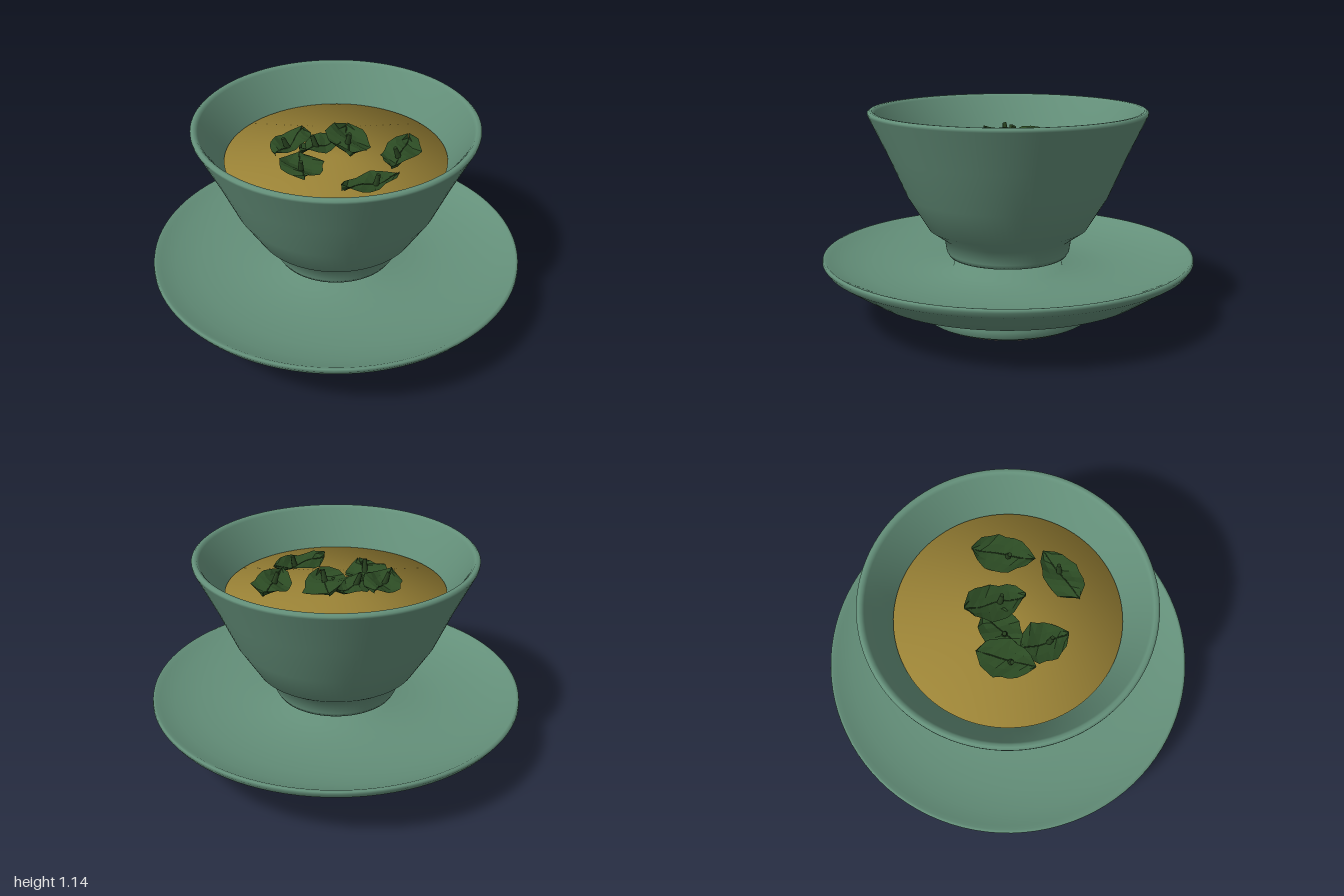
import * as THREE from 'three';

const SEGMENTS = 96;

function material(name, color, extra = {}) {
  const m = new THREE.MeshStandardMaterial({ color, ...extra });
  m.name = name;
  return m;
}

// Turned part: profile given as [radius, height] pairs
function turned(name, profile, mat) {
  const points = profile.map(([r, y]) => new THREE.Vector2(r, y));
  const mesh = new THREE.Mesh(new THREE.LatheGeometry(points, SEGMENTS), mat);
  mesh.name = name;
  return mesh;
}

// Height of a leaf: u runs base to tip (0..1), v across (-1..1)
const leafHeight = (u, v, phase) =>
  0.014 * v * v + 0.016 * (2 * u - 1) ** 2 + 0.012 * Math.sin(9 * u + 3 * v + phase);

function makeLeaf([bx, bz, tx, tz, width, y, roll], index, leafMat, veinMat) {
  const leaf = new THREE.Group();
  leaf.name = 'teaLeaf' + (index + 1);
  const length = Math.hypot(tx - bx, tz - bz);

  // Blade: a grid narrowed to a pointed outline, cupped and rippled
  const blade = new THREE.PlaneGeometry(1, 2, 8, 4);
  blade.rotateX(-Math.PI / 2);
  const p = blade.attributes.position;
  for (let i = 0; i < p.count; i++) {
    const u = p.getX(i) + 0.5, v = p.getZ(i);
    const notch = 1 + 0.07 * Math.sin(u * 19 + index * 2 + v);
    const half = 0.5 * width * notch * Math.pow(Math.max(Math.sin(Math.PI * Math.pow(u, 0.85)), 0.002), 0.65);
    p.setXYZ(i, (u - 0.5) * length, leafHeight(u, v, index), v * half);
  }
  blade.computeVertexNormals();
  const bladeMesh = new THREE.Mesh(blade, leafMat);
  bladeMesh.name = 'leafBlade';

  // Midrib along the fold
  const rib = [];
  for (let k = 0; k <= 6; k++) {
    const u = 0.04 + k * 0.153;
    rib.push(new THREE.Vector3((u - 0.5) * length, leafHeight(u, 0, index), 0));
  }
  const ribMesh = new THREE.Mesh(
    new THREE.TubeGeometry(new THREE.CatmullRomCurve3(rib), 12, 0.003, 5), veinMat);
  ribMesh.name = 'leafMidrib';

  // Short upright stem
  const stem = new THREE.Mesh(new THREE.CylinderGeometry(0.011, 0.017, 0.07, 7), veinMat);
  stem.name = 'leafStem';
  stem.position.set(0.03, leafHeight(0.6, 0, index) + 0.025, 0.008);
  stem.rotation.set(0.15, 0, -0.2);

  leaf.add(bladeMesh, ribMesh, stem);
  leaf.position.set((bx + tx) / 2, y, (bz + tz) / 2);
  leaf.rotation.set(roll, -Math.atan2(tz - bz, tx - bx), 0, 'YXZ');
  return leaf;
}

export function createModel() {
  const model = new THREE.Group();
  model.name = 'teaBowlOnSaucer';
  const glaze = material('celadonGlaze', 0x64907a);
  const clay = material('bareClay', 0xbb9f87, { side: THREE.DoubleSide });
  const teaMat = material('tea', 0x9b8336);
  const leafMat = material('leafGreen', 0x2b4a23, { side: THREE.DoubleSide, flatShading: true });
  const veinMat = material('darkLeafGreen', 0x263f1e);

  // Saucer with hollow foot ring, dished top and a raised seat under the bowl
  model.add(turned('saucer', [
    [0, 0.1], [0.37, 0.1], [0.385, 0.088], [0.388, 0.006], [0.392, 0.001],
    [0.43, 0.001], [0.438, 0.004], [0.44, 0.012], [0.455, 0.014],
    [0.458, 0.05], [0.455, 0.09], [0.435, 0.12],
    [0.47, 0.14], [0.55, 0.162], [0.78, 0.184], [0.88, 0.25], [0.98, 0.318],
    [0.998, 0.345], [0.995, 0.36], [0.982, 0.362], [0.96, 0.347],
    [0.88, 0.317], [0.76, 0.288], [0.6, 0.273], [0.3, 0.27], [0.28, 0.345], [0, 0.345],
  ], glaze));

  // Unglazed ring the saucer stands on
  const footRing = new THREE.Mesh(new THREE.RingGeometry(0.405, 0.43, SEGMENTS), clay);
  footRing.name = 'footRing';
  footRing.rotation.x = Math.PI / 2;
  model.add(footRing);

  // Bowl: foot, flared wall, rounded rim, then the inside
  model.add(turned('bowl', [
    [0, 0.345], [0.32, 0.345], [0.334, 0.37], [0.345, 0.44], [0.43, 0.5],
    [0.54, 0.68], [0.635, 0.9], [0.737, 1.115], [0.738, 1.128], [0.727, 1.137],
    [0.712, 1.136], [0.7, 1.122], [0.592, 0.935], [0.49, 0.7],
    [0.37, 0.53], [0, 0.48],
  ], glaze));

  // Body of tea, filling the inside
  model.add(turned('tea', [[0, 0.51], [0.35, 0.535], [0.58, 0.932], [0, 0.932]], teaMat));

  // Floating leaves: base x, z, tip x, z, width, height, roll
  const leaves = [
    [-0.06, -0.25, -0.31, -0.07, 0.2, 0.975, 0.15],
    [-0.185, -0.07, -0.275, 0.17, 0.23, 0.95, -0.12],
    [0.08, -0.1, -0.18, -0.06, 0.2, 0.962, 0.1],
    [0.15, -0.16, 0.01, 0.125, 0.24, 0.98, -0.3],
    [0.4, 0.08, 0.15, 0.3, 0.2, 0.955, 0.12],
    [-0.16, 0.34, 0.16, 0.36, 0.18, 0.95, -0.1],
  ];
  const floating = new THREE.Group();
  floating.name = 'teaLeaves';
  leaves.forEach((spec, i) => floating.add(makeLeaf(spec, i, leafMat, veinMat)));
  model.add(floating);
  return model;
}
